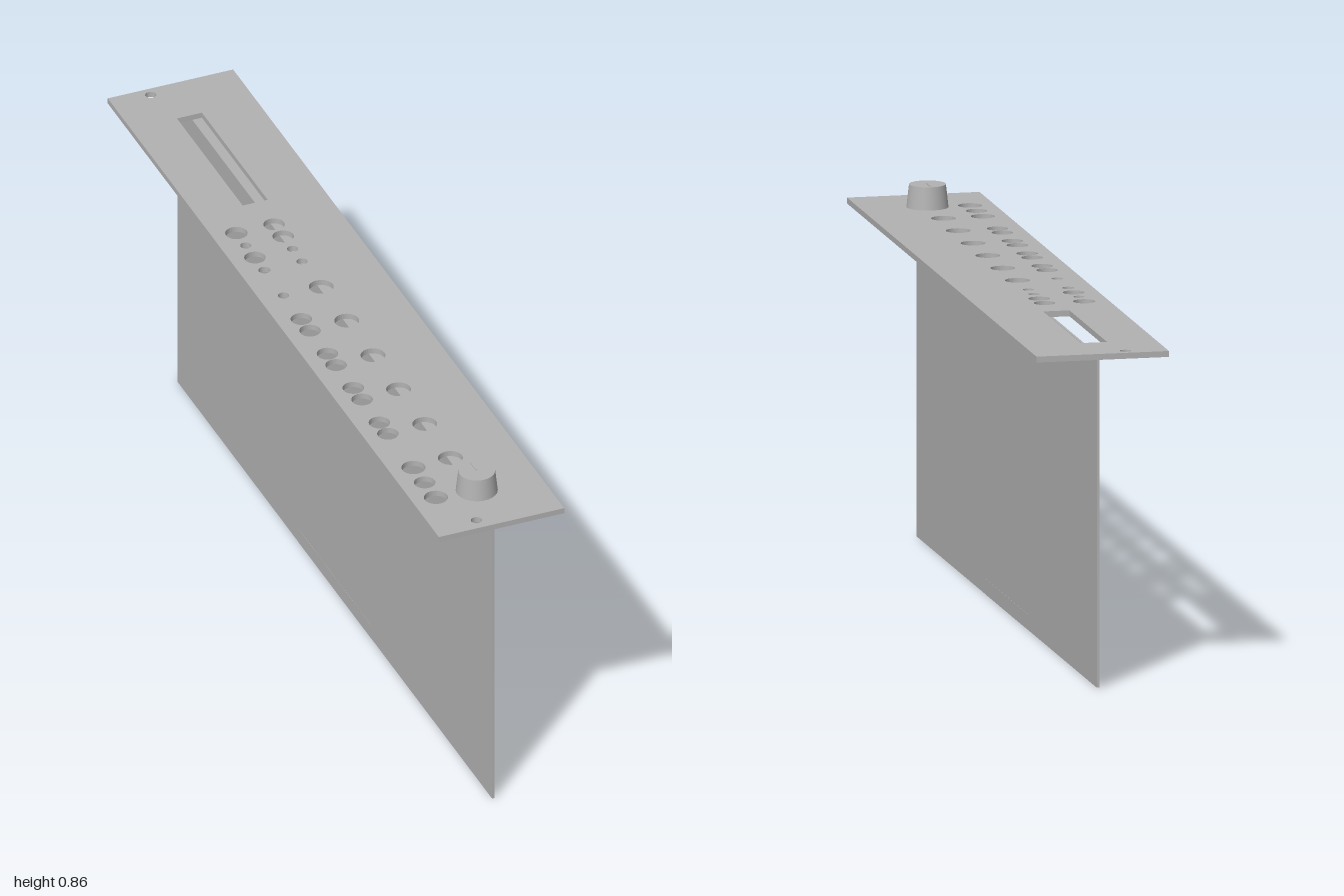
import * as THREE from 'three';

const grey = new THREE.MeshStandardMaterial({ color: 0xb2b2b2 });
grey.name = 'plain grey';

function add(group, name, geometry, x = 0, y = 0, z = 0) {
  const mesh = new THREE.Mesh(geometry, grey);
  mesh.name = name;
  mesh.position.set(x, y, z);
  group.add(mesh);
  return mesh;
}

// Openings in the faceplate, as [z, radius]
const OUTER_X = -0.1, INNER_X = -0.005;
const outerHoles = [
  [-0.362, 0.026], [-0.305, 0.013], [-0.25, 0.025], [-0.193, 0.014], [-0.077, 0.013],
  [0.03, 0.025], [0.083, 0.025], [0.188, 0.025], [0.24, 0.025], [0.344, 0.025],
  [0.397, 0.025], [0.502, 0.025], [0.553, 0.025],
  [0.707, 0.028], [0.775, 0.025], [0.843, 0.028],
];
const innerHoles = [
  [-0.362, 0.025], [-0.307, 0.025], [-0.25, 0.013], [-0.193, 0.013],
  [-0.077, 0.029], [0.077, 0.029], [0.235, 0.029], [0.39, 0.029], [0.548, 0.029], [0.703, 0.029],
];

// Rectangle path; shape y is world -z
function rectangle(path, x0, x1, z0, z1) {
  path.moveTo(x0, -z1);
  path.lineTo(x1, -z1);
  path.lineTo(x1, -z0);
  path.lineTo(x0, -z0);
  path.closePath();
  return path;
}

function faceplateGeometry(thickness) {
  const shape = rectangle(new THREE.Shape(), -0.158, 0.158, -1, 1);
  const hole = (x, z, r) =>
    shape.holes.push(new THREE.Path().absarc(x, -z, r, 0, Math.PI * 2, true));
  outerHoles.forEach(([z, r]) => hole(OUTER_X, z, r));
  innerHoles.forEach(([z, r]) => hole(INNER_X, z, r));
  // mounting screw holes at both ends
  hole(-0.06, -0.975, 0.013);
  hole(-0.05, 0.968, 0.013);
  // display window
  shape.holes.push(rectangle(new THREE.Path(), -0.042, 0.021, -0.86, -0.463));
  const geometry = new THREE.ExtrudeGeometry(shape, {
    depth: thickness, bevelEnabled: false, curveSegments: 16,
  });
  return geometry.rotateX(-Math.PI / 2);
}

export function createModel() {
  const model = new THREE.Group();
  model.name = 'controlPanel';

  // Faceplate
  add(model, 'faceplate', faceplateGeometry(0.014), 0, 0.786, 0);

  // Upright circuit board and the mounting flange along its top edge
  add(model, 'circuitBoard', new THREE.BoxGeometry(0.006, 0.786, 1.9), 0, 0.393, 0);
  add(model, 'mountingFlange', new THREE.BoxGeometry(0.06, 0.008, 1.9), 0.03, 0.781, 0);

  // Edge contacts along the bottom of the board
  add(model, 'edgeContacts', new THREE.BoxGeometry(0.0068, 0.037, 0.44), 0, 0.0185, 0);

  // Tapered knob with its pointer mark
  const knob = new THREE.Group();
  knob.name = 'knob';
  knob.position.set(0, 0.8, 0.85);
  add(knob, 'knobBody', new THREE.CylinderGeometry(0.043, 0.049, 0.054, 48), 0, 0.027, 0);
  add(knob, 'knobPointer', new THREE.BoxGeometry(0.004, 0.002, 0.035), 0, 0.055, -0.018);
  model.add(knob);

  return model;
}
